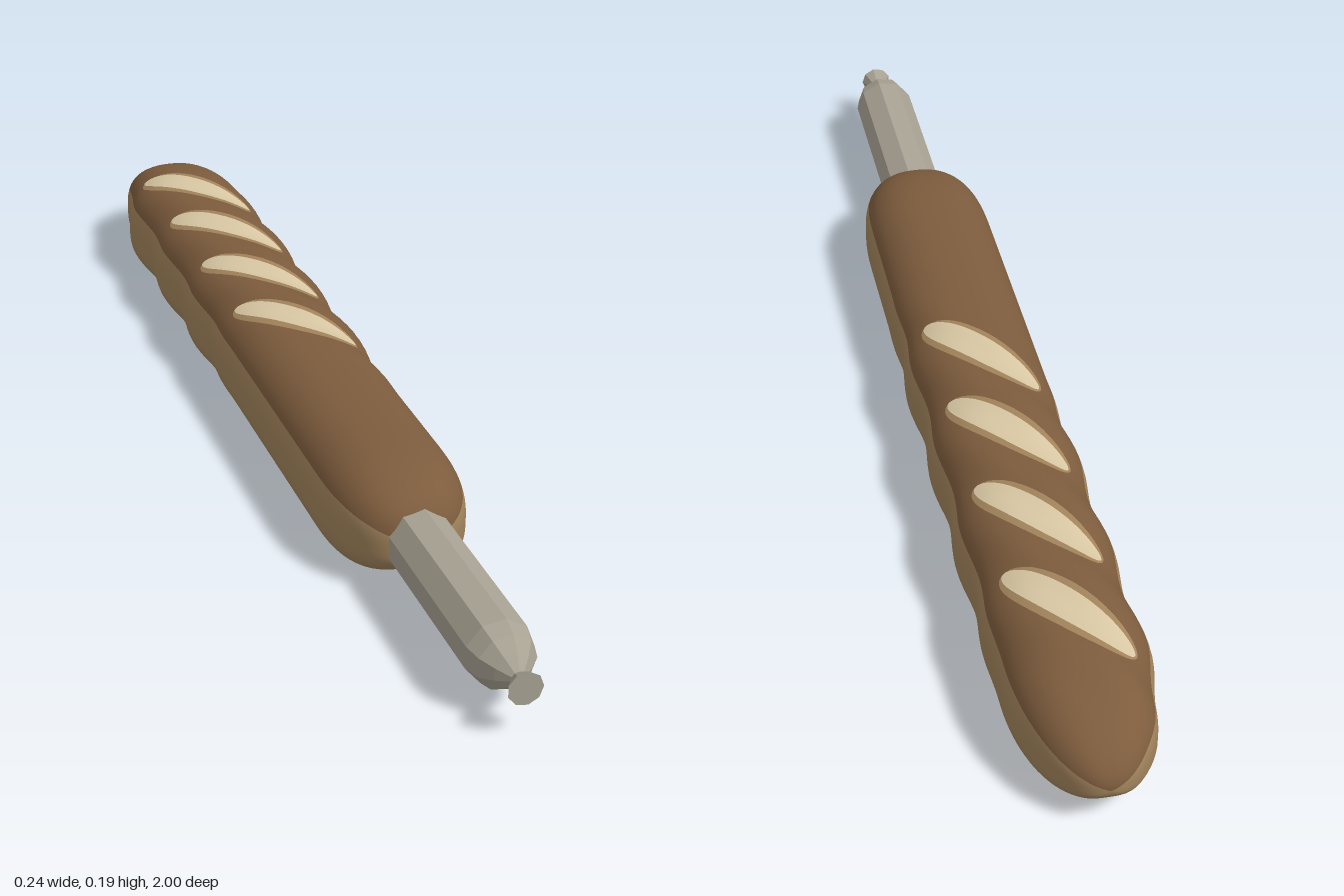
import * as THREE from 'three';

const mat = (name, color) => Object.assign(new THREE.MeshStandardMaterial({ color }), { name });

const CY = 0.08, A = 0.116, TOP = 0.099, SLASHES = [-0.715, -0.505, -0.285, -0.07];

// Overall taper of the loaf along its length
function taper(z) {
  if (z < -0.76) return Math.sqrt(Math.max(0, 1 - ((-0.76 - z) / 0.24) ** 2));
  if (z > 0.38) return Math.max(0, 1 - ((z - 0.38) / 0.205) ** 2.6) ** (1 / 2.6);
  return 1;
}

// Diagonal swelling between the slashes
function swell(x, z) {
  const k = z - 1.3 * x;
  const fade = THREE.MathUtils.smoothstep(k, -0.95, -0.72) * (1 - THREE.MathUtils.smoothstep(k, -0.1, 0.06));
  return 1 + fade * (0.015 - 0.06 * Math.cos((k + 0.07) * Math.PI * 2 / 0.215));
}

// Height of the upper crust at x, z
function crustY(x, z) {
  const s = taper(z), u = Math.min(1, Math.abs(x) / (A * s));
  return CY + TOP * s * (1 - u ** 2.4) ** (1 / 2.4) * swell(x, z);
}

// Loaf from cross-sections, with a paler band along each side
function loafGeometry() {
  const N = 64, M = 120, pos = [], idx = [];
  for (let i = 0; i <= M; i++) {
    const f = i / M;
    const z = -0.208 - 0.792 * Math.cos(f * Math.PI) * (0.85 + 0.15 * Math.cos(f * Math.PI) ** 2);
    for (let j = 0; j < N; j++) {
      const t = (j / N) * Math.PI * 2, c = Math.cos(t), sn = Math.sin(t);
      const p = sn >= 0 ? 2 / 2.4 : 2 / 3.5, s = taper(z);
      const x = Math.sign(c) * Math.abs(c) ** p * A * s;
      const y = Math.sign(sn) * Math.abs(sn) ** p * (sn >= 0 ? TOP : CY) * s;
      const w = swell(x, z);
      pos.push(x * (1 + (w - 1) * 0.7), CY + y * (sn >= 0 ? w : 1), z);
    }
  }
  const geo = new THREE.BufferGeometry();
  const band = (from, to, material) => {
    const start = idx.length;
    for (let i = 0; i < M; i++) for (let j = from; j < to; j++) {
      const a = i * N + (j % N), b = i * N + ((j + 1) % N);
      idx.push(a, b, b + N, a, b + N, a + N);
    }
    geo.addGroup(start, idx.length - start, material);
  };
  band(4, 28, 0);
  band(28, 68, 1);
  geo.setAttribute('position', new THREE.Float32BufferAttribute(pos, 3));
  geo.setIndex(idx);
  geo.computeVertexNormals();
  return geo;
}

// Thin oval lying on the crust, slanted across the loaf
function ovalGeometry(zc, length, width, lift) {
  const geo = new THREE.RingGeometry(0.001, 1, 40, 8);
  geo.rotateX(-Math.PI / 2);
  const p = geo.attributes.position, ang = Math.atan2(0.105, 0.078);
  const c = Math.cos(ang), s = Math.sin(ang);
  for (let i = 0; i < p.count; i++) {
    const l = p.getX(i) * length, w = p.getZ(i) * width;
    const x = l * c - w * s, z = zc + l * s + w * c;
    p.setXYZ(i, x, crustY(x, z) + lift, z);
  }
  geo.computeVertexNormals();
  return geo;
}

export function createModel() {
  const crust = mat('brownCrust', 0x7d5c3d);
  const pale = mat('paleCrust', 0xa2845c);
  const crumb = mat('creamCrumb', 0xd9c8a4);
  const casing = mat('greyCasing', 0xa8a293);
  const model = new THREE.Group();
  const add = (name, geo, material) => {
    const mesh = new THREE.Mesh(geo, material);
    mesh.name = name;
    model.add(mesh);
  };

  add('loaf', loafGeometry(), [crust, pale]);

  // Slashes: pale rim with crumb inside
  SLASHES.forEach((z, i) => {
    add('slashRim' + (i + 1), ovalGeometry(z, 0.132, 0.043, 0.002), pale);
    add('slashCrumb' + (i + 1), ovalGeometry(z, 0.13, 0.03, 0.005), crumb);
  });

  // Nine-sided sausage with a pinched, flared tip
  const profile = [[0.055, 0.5], [0.055, 0.9], [0.047, 0.93], [0.03, 0.953], [0.011, 0.972], [0.028, 1], [0, 1]]
    .map(([r, z]) => new THREE.Vector2(r, z));
  const sausage = new THREE.LatheGeometry(profile, 9, Math.PI / 2).toNonIndexed();
  sausage.rotateX(Math.PI / 2);
  sausage.translate(0, 0.081, 0);
  sausage.computeVertexNormals();
  add('sausage', sausage, casing);

  return model;
}
